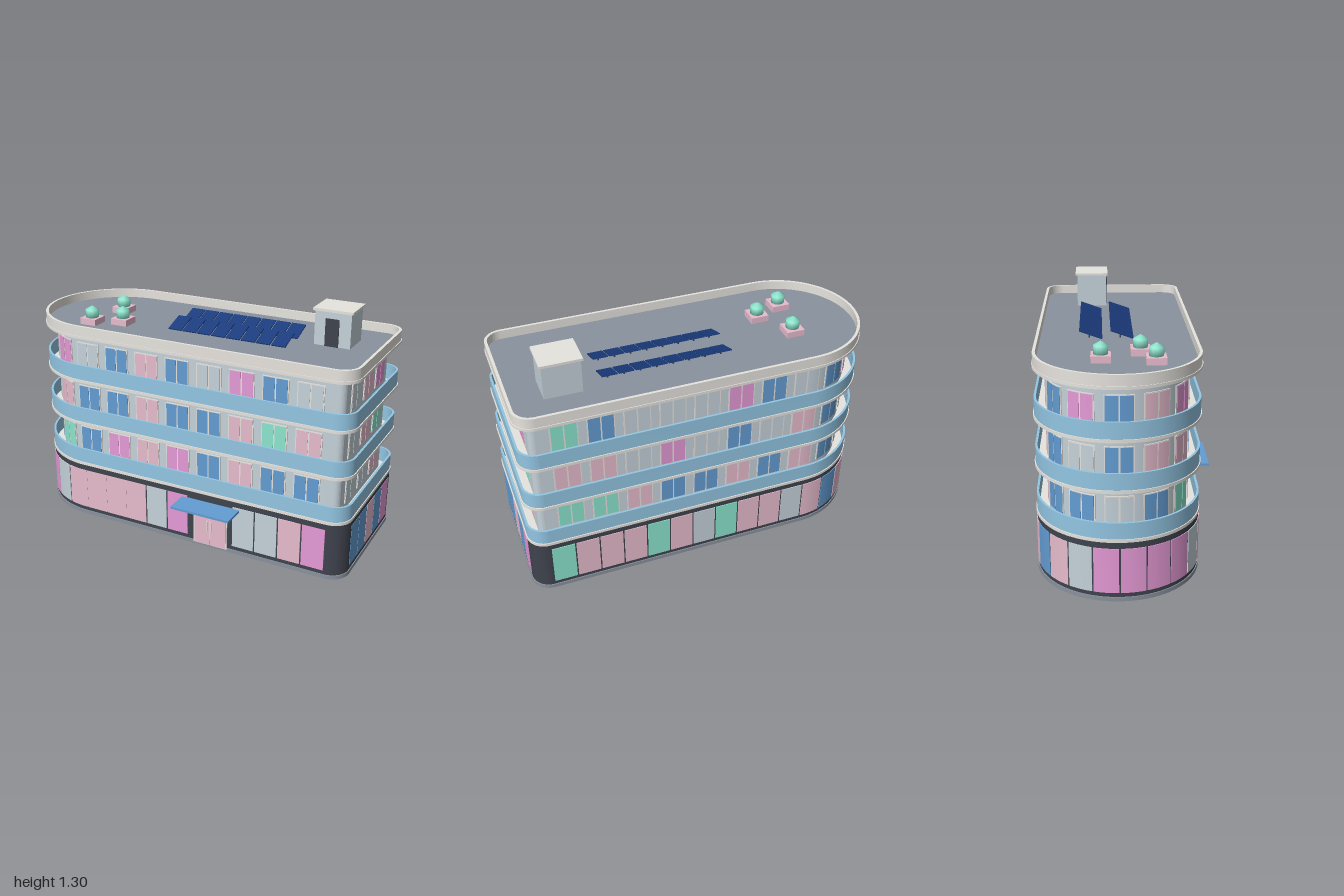
import * as THREE from 'three';
import { toCreasedNormals } from 'three/addons/utils/BufferGeometryUtils.js';

const material = (name, color) => {
  const m = new THREE.MeshStandardMaterial({ color });
  m.name = name;
  return m;
};

// Plan: semicircular left end, two rounded corners on the right (plan y = -z)
const CX = -0.58, CY = 0.065, R = 0.415, RIGHT = 0.995, CORNER = 0.1, INSET = 0.064;

function footprint(d) {
  const r = R + d, c = CORNER + d, right = RIGHT + d;
  const s = new THREE.Shape();
  s.moveTo(CX, CY - r);
  s.lineTo(right - c, CY - r);
  s.absarc(right - c, CY - r + c, c, -Math.PI / 2, 0, false);
  s.absarc(right - c, CY + r - c, c, 0, Math.PI / 2, false);
  s.lineTo(CX, CY + r);
  s.absarc(CX, CY, r, Math.PI / 2, Math.PI * 1.5, false);
  return s;
}

// Extrude a plan shape upwards from y0 to y1
function raise(shape, y0, y1) {
  const g = new THREE.ExtrudeGeometry(shape, { depth: y1 - y0, bevelEnabled: false, curveSegments: 24 });
  g.rotateX(-Math.PI / 2);
  g.translate(0, y0, 0);
  return toCreasedNormals(g, 0.5);
}

function ring(outer, inner, y0, y1) {
  const s = footprint(outer);
  s.holes.push(footprint(inner));
  return raise(s, y0, y1);
}

// U-shaped run along front, round end and back; s is distance, d is outward offset
function uPath(r, startX) {
  const straight = startX - CX, arc = Math.PI * r;
  return {
    length: 2 * straight + arc,
    at(s, d) {
      if (s < straight) return new THREE.Vector2(startX - s, CY - r - d);
      if (s > straight + arc) return new THREE.Vector2(CX + s - straight - arc, CY + r + d);
      const a = (s - straight) / r;
      return new THREE.Vector2(CX - (r + d) * Math.sin(a), CY - (r + d) * Math.cos(a));
    },
  };
}

// Plate that follows the wall between s0 and s1
function plate(path, s0, s1, proud, y0, y1) {
  const outer = [], inner = [], n = 6;
  for (let i = 0; i <= n; i++) {
    const s = s0 + (s1 - s0) * i / n;
    outer.push(path.at(s, proud));
    inner.unshift(path.at(s, -0.004));
  }
  return raise(new THREE.Shape([...outer, ...inner]), y0, y1);
}

export function createModel() {
  const root = new THREE.Group();
  root.name = 'building';
  const mat = {
    dark: material('charcoal', 0x3f434d),
    g: material('pale grey', 0xc5d2da),
    p: material('dusty pink', 0xecc0d2),
    m: material('magenta', 0xe59ad6),
    b: material('blue', 0x649dd3),
    t: material('teal', 0x8de6cf),
    cream: material('warm white', 0xe8e5e0),
    rail: material('balcony blue', 0x93c6e3),
    roof: material('roof grey', 0x8a929e),
    navy: material('navy', 0x1b3b7c),
  };

  const add = (name, geo, m, parent = root) => {
    const mesh = new THREE.Mesh(geo, m);
    mesh.name = name;
    parent.add(mesh);
    return mesh;
  };
  const box = (name, m, x0, x1, y0, y1, z0, z1, parent = root) => {
    const mesh = add(name, new THREE.BoxGeometry(x1 - x0, y1 - y0, z1 - z0), m, parent);
    mesh.position.set((x0 + x1) / 2, (y0 + y1) / 2, (z0 + z1) / 2);
    return mesh;
  };
  const group = (name) => {
    const g = new THREE.Group();
    g.name = name;
    root.add(g);
    return g;
  };

  // Main masses
  add('plinth', raise(footprint(0.005), 0, 0.022), mat.roof);
  add('groundFloor', raise(footprint(0), 0.022, 0.317), mat.dark);
  add('upperWalls', raise(footprint(-INSET), 0.32, 1.085), mat.g);

  // Ground floor shopfronts; the wide pink display has almost no gaps
  const shops = group('shopfronts');
  const shopPath = uPath(R, RIGHT - CORNER);
  const shopColours = 'mpgg--mgpppp' + 'gmmmmgpb' + 'pgpptgptpppt';
  const step = shopPath.length / shopColours.length;
  [...shopColours].forEach((c, i) => {
    if (c === '-') return; // entrance bay
    const start = i * step + (i > 8 && i < 12 ? 0.0005 : 0.004);
    const end = (i + 1) * step - (i > 7 && i < 11 ? 0.0005 : 0.004);
    add('shopPane', plate(shopPath, start, end, 0.004, 0.045, 0.283), mat[c], shops);
  });
  [...'bbpbm'].forEach((c, i) => {
    const z = 0.25 - i * 0.126;
    box('shopPane', mat[c], RIGHT - 0.004, RIGHT + 0.002, 0.045, 0.283, z - 0.122, z - 0.004, shops);
  });

  // Storeys: slab, balcony band and paired windows
  const winPath = uPath(R - INSET, 0.85);
  const storeys = [
    { y: 0.317, u: 'bbpbmpmb' + 'tbgbb' + 'pbpbbptt', side: 'ggp' },
    { y: 0.57, u: 'ptpbbpbb' + 'ppbgb' + 'pgbgmgpp', side: 'gpt' },
    { y: 0.824, u: 'gbmgbpbg' + 'mpbmb' + 'gbmgggbt', side: 'gpm' },
  ];
  storeys.forEach(({ y, u, side }) => {
    add('floorSlab', raise(footprint(0.005), y, y + 0.016), mat.cream);
    add('balconyBand', ring(0, -0.012, y + 0.016, y + 0.1), mat.rail);
    const wins = group('windows');
    const y0 = y + 0.055, y1 = y + 0.212, pitch = winPath.length / u.length;
    [...u].forEach((c, i) => {
      const s = (i + 0.5) * pitch;
      add('windowFrame', plate(winPath, s - 0.072, s + 0.072, 0.005, y0, y1), mat.cream, wins);
      for (const k of [-1, 1])
        add('windowPane', plate(winPath, s + k * 0.035 - 0.031, s + k * 0.035 + 0.031, 0.007, y0 + 0.005, y1 - 0.005), mat[c], wins);
    });
    const wx = RIGHT - INSET;
    [...side].forEach((c, i) => {
      const z = 0.125 - i * 0.19;
      box('windowFrame', mat.cream, wx - 0.004, wx + 0.005, y0, y1, z - 0.072, z + 0.072, wins);
      for (const k of [-1, 1])
        box('windowPane', mat[c], wx, wx + 0.007, y0 + 0.005, y1 - 0.005, z + k * 0.035 - 0.031, z + k * 0.035 + 0.031, wins);
    });
  });

  // Roof edge
  add('roofSlab', raise(footprint(0.005), 1.08, 1.095), mat.cream);
  add('roofSurface', raise(footprint(-0.012), 1.09, 1.1), mat.roof);
  add('parapet', ring(0.001, -0.014, 1.095, 1.15), mat.cream);

  // Entrance with double doors and canopy
  const door = group('entrance');
  box('doorFrame', mat.cream, 0.133, 0.337, 0.012, 0.252, 0.34, 0.356, door);
  for (const k of [-1, 1]) {
    const x = 0.235 + k * 0.048;
    box('doorLeaf', mat.p, x - 0.046, x + 0.046, 0.016, 0.244, 0.35, 0.36, door);
    const h = 0.235 + k * 0.012;
    box('doorHandle', mat.cream, h - 0.003, h + 0.003, 0.1, 0.165, 0.36, 0.367, door);
  }
  box('canopy', mat.b, 0.062, 0.408, 0.26, 0.273, 0.34, 0.485, door);

  // Rooftop stair house
  const house = group('stairHouse');
  box('houseWalls', mat.g, 0.61, 0.81, 1.095, 1.288, -0.28, -0.105, house);
  box('houseCap', mat.cream, 0.6, 0.82, 1.286, 1.3, -0.29, -0.097, house);
  box('houseDoor', mat.dark, 0.67, 0.745, 1.1, 1.25, -0.106, -0.1, house);

  // Tilted solar panels in two rows, on short legs
  const solar = group('solarPanels');
  for (const z of [-0.197, -0.031]) {
    for (let i = 0; i < 8; i++) {
      const x = -0.156 + i * 0.0885;
      const panel = add('solarPanel', new THREE.BoxGeometry(0.081, 0.006, 0.128), mat.navy, solar);
      panel.position.set(x, 1.125, z);
      panel.rotation.x = 0.34;
      box('panelLeg', mat.dark, x - 0.004, x + 0.004, 1.098, 1.125, z - 0.012, z - 0.004, solar);
    }
  }

  // Planters with round shrubs
  for (const [x, z] of [[-0.597, -0.147], [-0.477, 0.053], [-0.636, 0.123]]) {
    const planter = group('planter');
    box('planterBox', mat.p, x - 0.05, x + 0.05, 1.098, 1.135, z - 0.05, z + 0.05, planter);
    const shrub = add('shrub', new THREE.SphereGeometry(0.043, 12, 3), mat.t, planter);
    shrub.position.set(x, 1.158, z);
  }
  return root;
}
